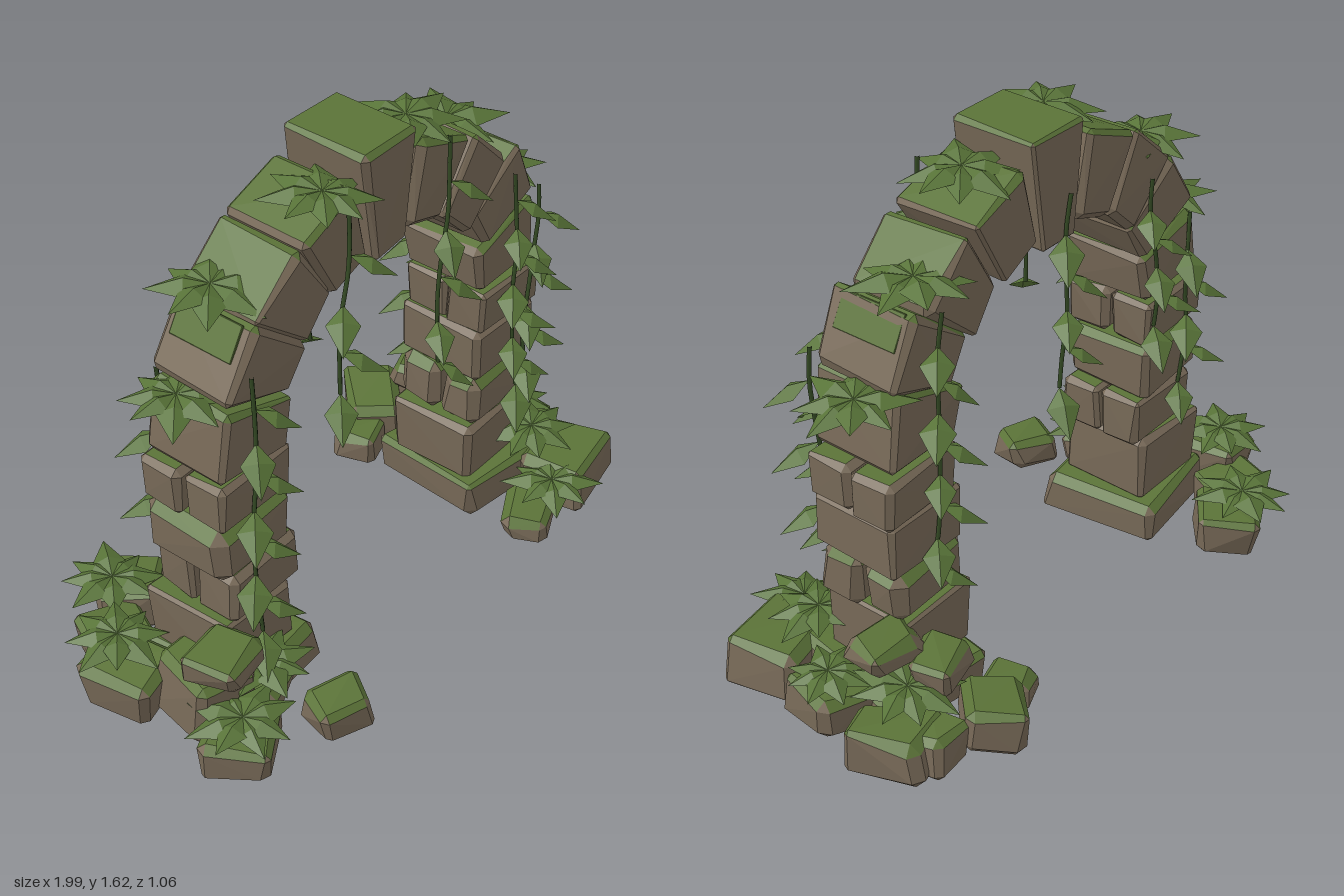
import * as THREE from 'three';
import { ConvexGeometry } from 'three/addons/geometries/ConvexGeometry.js';

const mat = (name, color, side = THREE.FrontSide) => {
  const m = new THREE.MeshStandardMaterial({ color, side });
  m.name = name;
  return m;
};

export function createModel() {
  const stone = mat('stone', 0x786a58);
  const moss = mat('moss', 0x5b7338);
  const leafMat = mat('leaf', 0x587338, THREE.DoubleSide);
  const stemMat = mat('stem', 0x344a24);
  const model = new THREE.Group();
  model.name = 'overgrownArch';

  let seed = 11;
  const rnd = () => (seed = (seed * 16807) % 2147483647) / 2147483647;
  const jit = a => (rnd() - 0.5) * 2 * a;

  // Chamfered stone block; faces pointing up past the threshold become moss
  function addStone(name, [x, y, z], [w, h, d], o = {}) {
    const { rx = 0, ry = 0, rz = 0, c = 0.016, taper = 0, rough = 0.006, mossFrom = 0.9 } = o;
    const pts = [];
    for (const sx of [-1, 1]) for (const sy of [-1, 1]) for (const sz of [-1, 1]) {
      const k = c * (0.5 + rnd());
      const off = new THREE.Vector3(jit(rough), jit(rough), jit(rough));
      for (let a = 0; a < 3; a++) {
        const p = new THREE.Vector3(
          sx * (w / 2 - (a === 0 ? 0 : k)),
          sy * (h / 2 - (a === 1 ? 0 : k)),
          sz * (d / 2 - (a === 2 ? 0 : k)));
        p.x *= 1 + taper * p.y / h;
        pts.push(p.add(off));
      }
    }
    const m = new THREE.Matrix4().makeRotationFromEuler(new THREE.Euler(rx, ry, rz, 'YXZ'));
    m.setPosition(x, y, z);
    pts.forEach(p => { p.applyMatrix4(m); p.y = Math.max(p.y, 0); });
    const hull = new ConvexGeometry(pts);
    const pos = hull.attributes.position, nor = hull.attributes.normal;
    const sets = [[], []];
    for (let i = 0; i < pos.count; i += 3) {
      const set = sets[nor.getY(i) > mossFrom ? 1 : 0];
      for (let j = i; j < i + 3; j++) set.push(pos.getX(j), pos.getY(j), pos.getZ(j));
    }
    const g = new THREE.BufferGeometry();
    g.setAttribute('position', new THREE.Float32BufferAttribute(sets.flat(), 3));
    g.computeVertexNormals();
    g.addGroup(0, sets[0].length / 3, 0);
    g.addGroup(sets[0].length / 3, sets[1].length / 3, 1);
    const mesh = new THREE.Mesh(g, [stone, moss]);
    mesh.name = name;
    model.add(mesh);
  }

  // Wedge stones of the arch ring: angle, radius, radial height
  const ring = [
    [10, 0.59, 0.275], [28.5, 0.622, 0.265], [46.5, 0.582, 0.255], [68.5, 0.572, 0.26],
    [111.5, 0.573, 0.265], [131, 0.582, 0.26], [149.5, 0.583, 0.275], [170, 0.576, 0.275],
  ];
  for (const [deg, r, h] of ring) {
    const a = THREE.MathUtils.degToRad(deg);
    addStone('archStone', [Math.cos(a) * r, 0.86 + Math.sin(a) * r, 0.015], [0.198, h, 0.29],
      { rz: a - Math.PI / 2, taper: 0.4, c: 0.016, mossFrom: 0.6 });
  }
  addStone('keystone', [0.005, 1.447, 0.015], [0.19, 0.355, 0.3], { taper: 0.55, c: 0.012, mossFrom: 0.6 });

  // Moss patches on the upper half of the two steep haunch stones
  for (const [deg, r] of [[28.5, 0.755], [149.5, 0.721]]) {
    const s = deg < 90 ? 1 : -1, a = THREE.MathUtils.degToRad(deg);
    addStone('mossPatch',
      [Math.cos(a) * r - Math.sin(a) * s * 0.05, 0.86 + Math.sin(a) * r + Math.cos(a) * s * 0.05, 0.012],
      [0.11, 0.009, 0.22], { rz: a - Math.PI / 2, c: 0.002, rough: 0, mossFrom: -2 });
  }

  // Pillar courses: centre x, width, bottom, top, split in two, mossy rim
  const courses = [
    [-0.585, 0.29, 0.13, 0.35, false, false], [-0.545, 0.29, 0.345, 0.51, true, false],
    [-0.585, 0.3, 0.5, 0.69, false, true], [-0.587, 0.295, 0.7, 0.855, true, false],
    [0.56, 0.285, 0.13, 0.345, false, false], [0.583, 0.3, 0.345, 0.518, true, true],
    [0.602, 0.295, 0.52, 0.705, false, false], [0.607, 0.29, 0.69, 0.845, true, false],
  ];
  for (const [x, w, y0, y1, split, rim] of courses) {
    const y = (y0 + y1) / 2, h = y1 - y0;
    const look = rim ? { mossFrom: 0.6, c: 0.028 } : { mossFrom: 0.9 };
    if (!split) addStone('pillarBlock', [x, y, 0.01], [w, h, 0.305], { ...look, ry: jit(0.03) });
    else for (const s of [-1, 1])
      addStone('pillarHalfBlock', [x + jit(0.008), y, 0.015 + s * 0.078], [w, h, 0.145], { ...look, ry: jit(0.04) });
  }

  // Footings and fallen rubble: x, y, z, width, height, depth, turn
  const rubble = [
    [-0.56, 0.07, 0.02, 0.35, 0.14, 0.4, 0.1], [-0.86, 0.08, -0.12, 0.2, 0.16, 0.24, 0.2],
    [-0.82, 0.07, 0.29, 0.23, 0.13, 0.2, 0.5], [-0.54, 0.055, 0.42, 0.17, 0.11, 0.15, -0.35],
    [-0.58, 0.07, -0.37, 0.19, 0.14, 0.19, 0.6], [-0.78, 0.31, 0.2, 0.19, 0.1, 0.18, 0.15],
    [-0.76, 0.12, 0.1, 0.2, 0.22, 0.26, -0.2], [-0.64, 0.1, 0.22, 0.18, 0.1, 0.14, 0.3],
    [-0.75, 0.06, -0.28, 0.2, 0.12, 0.18, -0.4],
    [0.6, 0.07, 0.02, 0.36, 0.14, 0.42, -0.12], [0.76, 0.08, 0.31, 0.28, 0.16, 0.22, 0.2],
    [0.51, 0.05, 0.35, 0.19, 0.09, 0.15, 0.5], [0.61, 0.08, -0.37, 0.24, 0.14, 0.18, 0.75],
    [0.45, 0.05, -0.31, 0.14, 0.1, 0.14, 0.4], [0.87, 0.07, -0.22, 0.18, 0.14, 0.24, 0.35],
    [0.84, 0.07, 0.04, 0.2, 0.14, 0.2, -0.3], [0.78, 0.315, -0.13, 0.2, 0.09, 0.15, -0.15],
    [0.68, 0.25, -0.24, 0.18, 0.1, 0.14, 0.3], [0.8, 0.07, -0.3, 0.16, 0.12, 0.16, 0.1],
  ];
  for (const [x, y, z, w, h, d, ry] of rubble)
    addStone('rubble', [x, y, z], [w, h, d],
      { ry, rx: jit(0.1), rz: jit(0.1), c: 0.022, rough: 0.012, mossFrom: 0.6 });

  // Folded diamond leaf of unit length pointing along +z
  const leafGeo = new THREE.BufferGeometry();
  leafGeo.setAttribute('position', new THREE.Float32BufferAttribute([
    0, 0, 0, -0.31, -0.06, 0.38, 0, 0.09, 0.4, -0.31, -0.06, 0.38, 0, -0.12, 1, 0, 0.09, 0.4,
    0, 0, 0, 0, 0.09, 0.4, 0.31, -0.06, 0.38, 0.31, -0.06, 0.38, 0, 0.09, 0.4, 0, -0.12, 1,
  ], 3));
  leafGeo.computeVertexNormals();
  function addLeaf(parent, at, dir, len) {
    const leaf = new THREE.Mesh(leafGeo, leafMat);
    leaf.name = 'leaf';
    leaf.position.copy(at);
    leaf.lookAt(at.clone().add(dir));
    leaf.scale.setScalar(len);
    parent.add(leaf);
  }

  // Star-shaped leaf clusters on the arch and the rubble: x, y, z, radius
  const clusters = [
    [0.23, 1.55, 0.03, 0.175], [-0.22, 1.55, 0.1, 0.17], [0.53, 1.37, -0.05, 0.185],
    [-0.54, 1.37, -0.02, 0.175], [0.77, 1.1, -0.04, 0.17], [-0.7, 1.1, -0.01, 0.165],
    [-0.84, 0.21, -0.17, 0.16], [-0.64, 0.16, -0.39, 0.155], [-0.82, 0.16, 0.3, 0.16],
    [-0.63, 0.18, 0.21, 0.155], [0.69, 0.23, 0.22, 0.16], [0.6, 0.14, 0.37, 0.155],
    [0.8, 0.23, -0.22, 0.165], [0.84, 0.17, 0.05, 0.13],
  ];
  for (const [x, y, z, r] of clusters) {
    const g = new THREE.Group();
    g.name = 'leafCluster';
    const a0 = rnd() * 6;
    for (let i = 0; i < 8; i++) {
      const a = a0 + i * Math.PI / 4 + jit(0.12);
      addLeaf(g, new THREE.Vector3(0, 0.005, 0), new THREE.Vector3(Math.cos(a), jit(0.1), Math.sin(a)), r * (0.9 + rnd() * 0.2));
    }
    g.position.set(x, y, z);
    model.add(g);
  }

  // Hanging vines: start x, end x, top, bottom, z, leaf spacing
  const vines = [
    [-0.2, -0.25, 1.52, 0.92, 0.18, 0.17], [0.24, 0.21, 1.54, 0.76, 0.18, 0.15],
    [-0.03, 0.01, 1.42, 0.8, -0.145, 0.13], [-0.61, -0.6, 1.2, 0.26, 0.18, 0.12],
    [0.57, 0.63, 1.25, 0.42, 0.18, 0.1], [0.7, 0.67, 1.15, 0.5, 0.18, 0.1],
    [-0.43, -0.47, 1.3, 0.78, -0.145, 0.11], [-0.64, -0.62, 1.1, 0.5, -0.145, 0.11],
    [0.53, 0.58, 1.3, 0.48, -0.145, 0.1],
  ];
  for (const [xa, xb, y0, y1, z, step] of vines) {
    const g = new THREE.Group();
    g.name = 'vine';
    const pts = [];
    for (let i = 0; i <= 6; i++) {
      const t = i / 6;
      pts.push(new THREE.Vector3(xa + (xb - xa) * t + Math.sin(t * 7) * 0.012, y0 + (y1 - y0) * t, z + jit(0.004)));
    }
    const curve = new THREE.CatmullRomCurve3(pts);
    const stem = new THREE.Mesh(new THREE.TubeGeometry(curve, 14, 0.007, 5), stemMat);
    stem.name = 'vineStem';
    g.add(stem);
    const n = Math.round((y0 - y1) / step);
    for (let i = 1; i <= n; i++) {
      const side = i % 2 ? 1 : -1;
      addLeaf(g, curve.getPoint(i / n), new THREE.Vector3(side * 0.65 + jit(0.2), -0.42 + jit(0.12), Math.sign(z) * 0.6), 0.155 + jit(0.012));
    }
    model.add(g);
  }
  return model;
}
